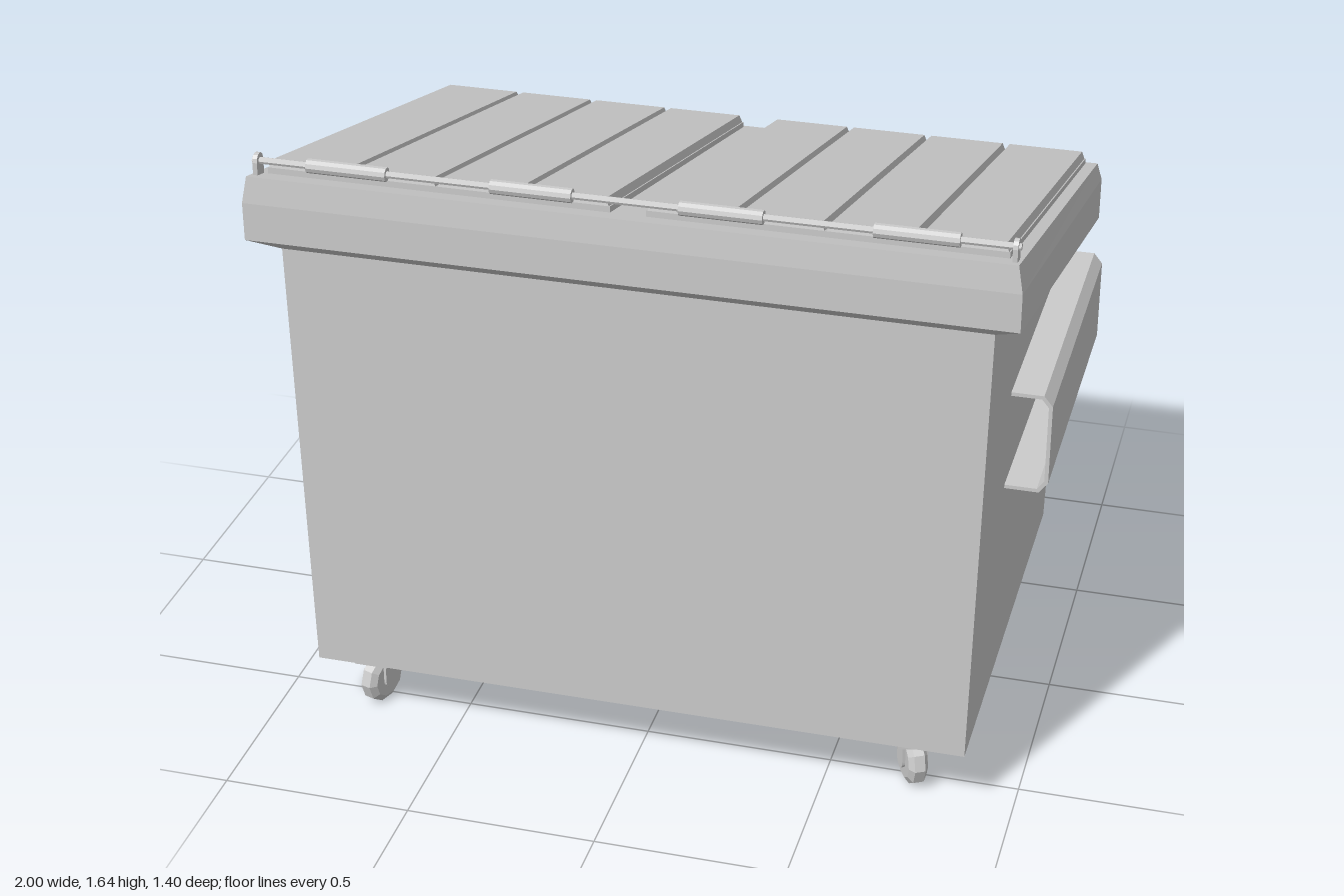
import * as THREE from 'three';

const mat = new THREE.MeshStandardMaterial({ color: 0xcccccc, flatShading: true, side: THREE.DoubleSide });

function add(parent, name, geometry, x = 0, y = 0, z = 0) {
  const mesh = new THREE.Mesh(geometry, mat);
  mesh.name = name;
  mesh.position.set(x, y, z);
  parent.add(mesh);
  return mesh;
}

// Closed solid through four-cornered rings [x0, x1, zFront, yFront, zBack, yBack], bottom to top
function loft(rings) {
  const pts = rings.map(([x0, x1, zf, yf, zb, yb]) =>
    [[x0, yf, zf], [x1, yf, zf], [x1, yb, zb], [x0, yb, zb]]);
  const pos = [];
  const quad = (a, b, c, d) => pos.push(...a, ...b, ...c, ...a, ...c, ...d);
  for (let i = 0; i + 1 < pts.length; i++) {
    for (let j = 0; j < 4; j++) {
      const k = (j + 1) % 4;
      quad(pts[i][j], pts[i][k], pts[i + 1][k], pts[i + 1][j]);
    }
  }
  const [b, t] = [pts[0], pts[pts.length - 1]];
  quad(b[3], b[2], b[1], b[0]);
  quad(t[0], t[1], t[2], t[3]);
  const g = new THREE.BufferGeometry();
  g.setAttribute('position', new THREE.Float32BufferAttribute(pos, 3));
  g.computeVertexNormals();
  return g;
}

// Height above the sloping top of the rim
const slopeY = (z, h) => 1.43 + 0.247 * z + h;
const slopeRing = (x0, x1, zf, zb, h) => [x0, x1, zf, slopeY(zf, h), zb, slopeY(zb, h)];

// Lid: thin base plate carrying four bevelled panels
function makeLid(side) {
  const lid = new THREE.Group();
  lid.name = side > 0 ? 'leftLid' : 'rightLid';
  const inner = 0.045, width = 0.219, zf = 0.63, zb = -0.67;
  const span = (a, b) => (side > 0 ? [a, b] : [-b, -a]);
  const [a, b] = span(inner, inner + 4 * width);
  add(lid, 'lidBase', loft([slopeRing(a, b, zf, zb, -0.005), slopeRing(a, b, zf, zb, 0.015)]));
  for (let i = 0; i < 4; i++) {
    const [p, q] = span(inner + i * width, inner + (i + 1) * width);
    add(lid, 'lidPanel', loft([
      slopeRing(p + 0.003, q - 0.003, zf, zb, 0.014),
      slopeRing(p + 0.01, q - 0.01, zf - 0.005, zb + 0.008, 0.036),
    ]));
  }
  return lid;
}

// Side fork pocket: open-ended folded channel
function makePocket(side) {
  const s = new THREE.Shape();
  const outline = [
    [0.885, 1.048], [0.975, 1.048], [0.998, 1.02], [0.998, 0.8], [0.975, 0.77], [0.885, 0.77],
    [0.885, 0.78], [0.97, 0.78], [0.988, 0.804], [0.988, 1.016], [0.97, 1.038], [0.885, 1.038],
  ];
  outline.forEach(([x, y], i) => (i ? s.lineTo(x, y) : s.moveTo(x, y)));
  const g = new THREE.ExtrudeGeometry(s, { depth: 0.85, bevelEnabled: false });
  g.translate(0, 0, -0.565);
  if (side < 0) g.rotateY(Math.PI).translate(0, 0, -0.28);
  return g;
}

// Swivel caster: mounting plate, fork with rounded prongs, chamfered wheel
function makeCaster(x, z, plateTurn, wheelTurn) {
  const caster = new THREE.Group();
  caster.name = 'caster';
  caster.position.set(x, 0, z);
  add(caster, 'casterPlate', new THREE.BoxGeometry(0.092, 0.032, 0.146), 0, 0.161, 0).rotation.y = plateTurn;

  const swivel = new THREE.Group();
  swivel.name = 'casterSwivel';
  swivel.rotation.y = wheelTurn;
  caster.add(swivel);
  add(swivel, 'forkCrown', new THREE.BoxGeometry(0.07, 0.012, 0.046), 0, 0.143, 0);

  const prong = new THREE.Shape();
  prong.moveTo(-0.023, 0.145);
  prong.lineTo(-0.023, 0.07);
  prong.absarc(0, 0.07, 0.023, Math.PI, Math.PI * 2, false);
  prong.lineTo(0.023, 0.145);
  for (const s of [-1, 1]) {
    const g = new THREE.ExtrudeGeometry(prong, { depth: 0.008, bevelEnabled: false, curveSegments: 6 });
    g.translate(0, 0, -0.004).rotateY(Math.PI / 2);
    add(swivel, 'forkProng', g, s * 0.031, 0, 0);
  }
  const profile = [[0, -0.026], [0.052, -0.026], [0.07, -0.014], [0.07, 0.014], [0.052, 0.026], [0, 0.026]]
    .map(([r, h]) => new THREE.Vector2(r, h));
  const wheel = new THREE.LatheGeometry(profile, 10);
  wheel.rotateZ(Math.PI / 2);
  add(swivel, 'wheel', wheel, 0, 0.07, 0);
  return caster;
}

export function createModel() {
  const model = new THREE.Group();
  model.name = 'dumpster';

  // Tapered bin
  add(model, 'binBody', loft([
    [-0.875, 0.875, 0.635, 0.175, -0.61, 0.175],
    [-0.897, 0.897, 0.635, 1.42, -0.632, 1.13],
  ]));

  // Overhanging rim with slanted underside and chamfered top
  add(model, 'rim', loft([
    [-0.897, 0.897, 0.635, 1.385, -0.632, 1.105],
    [-0.965, 0.965, 0.7, 1.43, -0.7, 1.093],
    [-0.965, 0.965, 0.7, 1.53, -0.7, 1.21],
    [-0.952, 0.952, 0.693, 1.6, -0.69, 1.26],
  ]));

  for (const side of [1, -1]) {
    model.add(makeLid(side));
    add(model, side > 0 ? 'leftForkPocket' : 'rightForkPocket', makePocket(side));
  }

  // Hinge rod, sleeves and end tabs
  const bar = (r, len, n) => new THREE.CylinderGeometry(r, r, len, n).rotateZ(Math.PI / 2);
  const hingeY = 1.626, hingeZ = 0.648;
  add(model, 'hingeRod', bar(0.009, 1.9, 8), 0, hingeY, hingeZ);
  for (const x of [-0.705, -0.235, 0.235, 0.705]) {
    add(model, 'hingeSleeve', bar(0.018, 0.205, 10), x, hingeY, hingeZ);
  }
  for (const s of [-1, 1]) {
    add(model, 'hingeTabTop', bar(0.02, 0.012, 12), s * 0.938, hingeY, hingeZ);
    add(model, 'hingeTab', new THREE.BoxGeometry(0.012, 0.05, 0.04), s * 0.938, 1.601, hingeZ);
  }

  // Casters, each swivelled a little differently
  [
    [0.722, 0.523, 0.26, 0.5],
    [-0.744, 0.523, 0, -0.33],
    [0.722, -0.48, 0.2, 0.5],
    [-0.744, -0.48, 0, 0.25],
  ].forEach((c) => model.add(makeCaster(...c)));

  return model;
}
